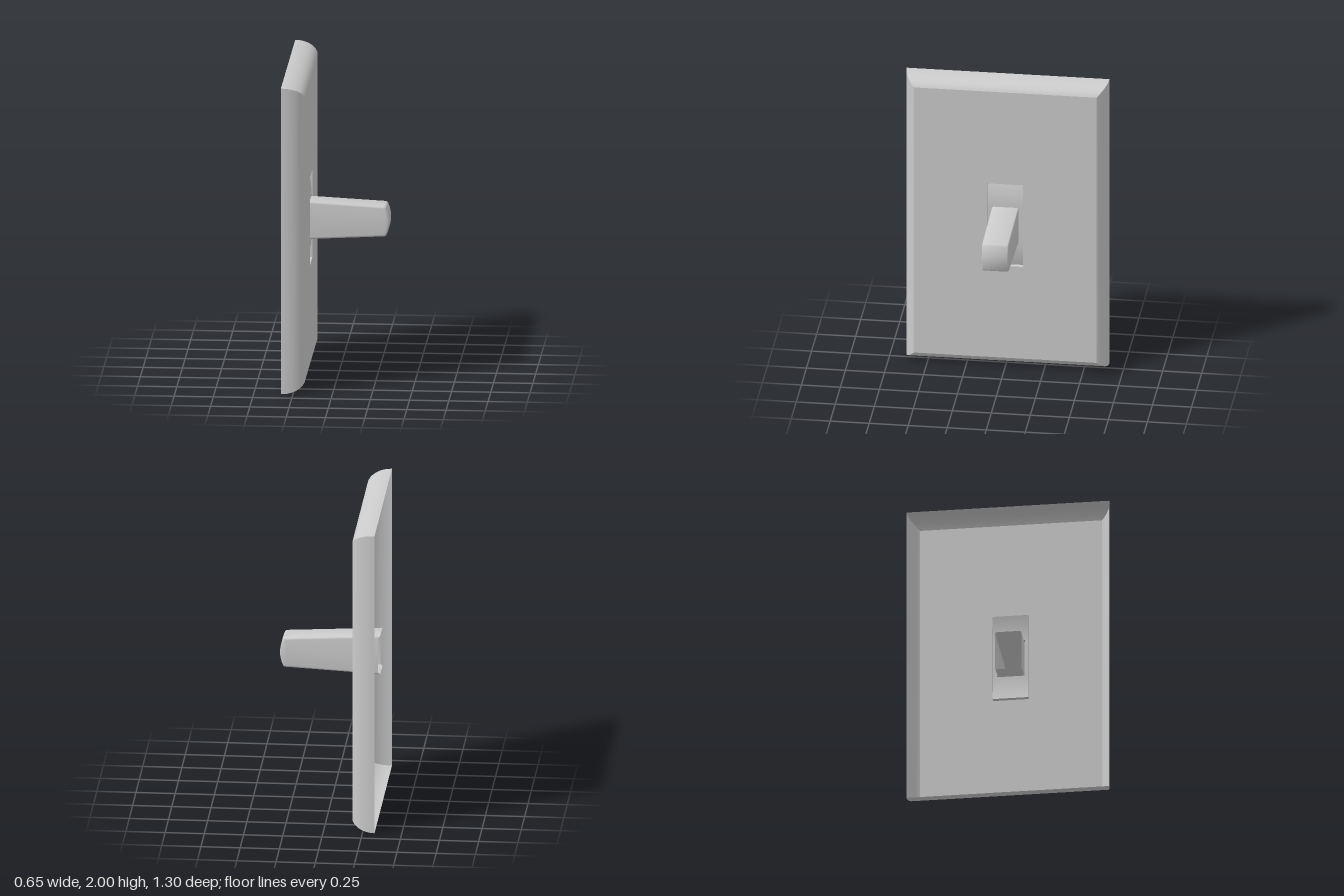
import * as THREE from 'three';
import { toCreasedNormals } from 'three/addons/utils/BufferGeometryUtils.js';

const material = new THREE.MeshStandardMaterial({ color: 0xcccccc, side: THREE.DoubleSide });
const FACE_X = -0.18, HALF_Z = 0.65, INSET = 0.065;
const SLOT_Z = 0.115, SLOT_Y = 0.288, LEVER_Z = 0.086, LEVER_Y = 0.124;

function add(parent, name, geometry) {
  const mesh = new THREE.Mesh(geometry, material);
  mesh.name = name;
  parent.add(mesh);
  return mesh;
}

// Rectangle centred on the origin, as a Shape or a hole Path
function rect(Type, w, h) {
  return new Type([[-w, -h], [w, -h], [w, h], [-w, h]].map(([x, y]) => new THREE.Vector2(x, y)));
}

// One rounded side of the plate, mitred between two corners
function rimSide(c0, c1) {
  const steps = 10, pos = [], index = [];
  for (let k = 0; k <= steps; k++) {
    const a = (k / steps) * 1.35, end = 1.35;
    const inset = INSET * (1 - Math.cos(a)) / (1 - Math.cos(end));
    const x = -0.327 + 0.147 * Math.sin(a) / Math.sin(end);
    for (const [sz, sy] of [c0, c1]) pos.push(x, sy * (1 - inset), sz * (HALF_Z - inset));
    if (k < steps) {
      const i = k * 2;
      index.push(i, i + 1, i + 3, i, i + 3, i + 2);
    }
  }
  const g = new THREE.BufferGeometry();
  g.setAttribute('position', new THREE.Float32BufferAttribute(pos, 3));
  g.setIndex(index);
  g.computeVertexNormals();
  return g;
}

// Tapered lever with a bowed tip and an open back end
function leverGeometry() {
  const s = new THREE.Shape();
  s.moveTo(-0.315, -0.13);
  s.lineTo(0.29, -0.098);
  s.quadraticCurveTo(0.304, -0.096, 0.309, -0.08);
  s.quadraticCurveTo(0.341, 0, 0.309, 0.08);
  s.quadraticCurveTo(0.304, 0.096, 0.29, 0.098);
  s.lineTo(-0.315, 0.13);
  s.closePath();
  const b = 0.013;
  const g = new THREE.ExtrudeGeometry(s, {
    depth: 2 * (LEVER_Z - b), bevelThickness: b, bevelSize: b, bevelOffset: -b,
    bevelSegments: 4, curveSegments: 10,
  });
  g.translate(0, 0, -(LEVER_Z - b));
  // Drop the triangles that would close the back end
  const p = g.attributes.position, kept = [];
  for (let i = 0; i < p.count; i += 3) {
    if ([0, 1, 2].every((j) => p.getX(i + j) < -0.29)) continue;
    for (let j = 0; j < 3; j++) kept.push(p.getX(i + j), p.getY(i + j), p.getZ(i + j));
  }
  const open = new THREE.BufferGeometry();
  open.setAttribute('position', new THREE.Float32BufferAttribute(kept, 3));
  return toCreasedNormals(open, 0.6);
}

// Curved cover filling the slot above or below the lever
function flapGeometry(side) {
  const h = SLOT_Y - LEVER_Y;
  const g = new THREE.PlaneGeometry(2 * SLOT_Z, h, 1, 8);
  g.rotateY(Math.PI / 2);
  g.translate(FACE_X - 0.004, side * (LEVER_Y + h / 2), 0);
  const p = g.attributes.position;
  for (let i = 0; i < p.count; i++) {
    const t = (Math.abs(p.getY(i)) - LEVER_Y) / h;
    p.setX(i, p.getX(i) - 0.026 * t * t);
  }
  g.computeVertexNormals();
  return g;
}

export function createModel() {
  const model = new THREE.Group();
  model.name = 'toggleSwitch';
  const body = new THREE.Group();
  body.name = 'switchBody';
  body.position.y = 1;
  model.add(body);

  // Wall plate: flat face with a slot, and four rounded sides
  const face = rect(THREE.Shape, HALF_Z - INSET, 1 - INSET);
  face.holes.push(rect(THREE.Path, SLOT_Z, SLOT_Y));
  add(body, 'plateFace', new THREE.ShapeGeometry(face).rotateY(Math.PI / 2).translate(FACE_X, 0, 0));
  const corners = [[1, -1], [-1, -1], [-1, 1], [1, 1]];
  corners.forEach((c, i) => add(body, 'plateRim', rimSide(c, corners[(i + 1) % 4])));

  // Slot walls, covers and the strips beside the lever
  const depth = 0.03;
  for (const side of [-1, 1]) {
    const wall = new THREE.PlaneGeometry(depth, 2 * SLOT_Y);
    if (side > 0) wall.rotateY(Math.PI);
    add(body, 'slotSideWall', wall.translate(FACE_X - depth / 2, 0, side * SLOT_Z));
    const end = new THREE.PlaneGeometry(depth, 2 * SLOT_Z).rotateX(side * Math.PI / 2);
    add(body, 'slotEndWall', end.translate(FACE_X - depth / 2, side * SLOT_Y, 0));
    add(body, 'slotCover', flapGeometry(side));
    const strip = new THREE.PlaneGeometry(SLOT_Z - LEVER_Z, 2 * LEVER_Y).rotateY(Math.PI / 2);
    add(body, 'slotStrip', strip.translate(FACE_X - 0.004, 0, side * (SLOT_Z + LEVER_Z) / 2));
  }

  add(body, 'lever', leverGeometry());
  return model;
}
